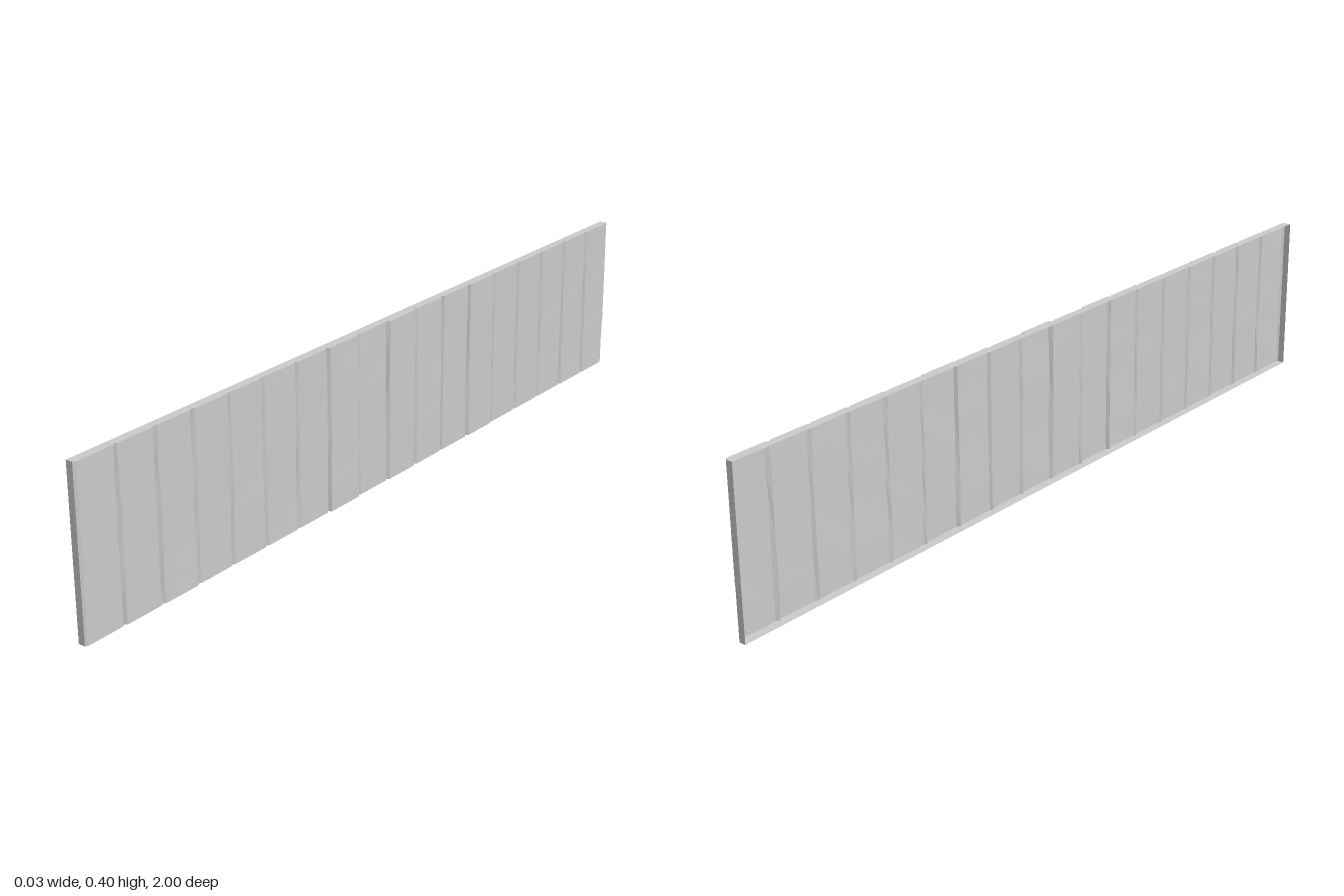
import * as THREE from 'three';

const BOARDS = 18, ROWS = 6, HEIGHT = 0.4, BACK = -0.013, GROOVE = 0.004;
const PITCH = 2 / BOARDS;

// Seeded random numbers for the hand-cut look
function seeded(seed) {
  return () => {
    seed = (seed * 16807) % 2147483647;
    return seed / 2147483647;
  };
}

// Faceted sheet over a grid of points; u runs right and v up as seen from outside
function sheet(name, nu, nv, point, material) {
  const pos = [];
  for (let i = 0; i < nu; i++) {
    for (let j = 0; j < nv; j++) {
      const a = point(i, j), b = point(i + 1, j), c = point(i + 1, j + 1), d = point(i, j + 1);
      pos.push(...a, ...b, ...c, ...a, ...c, ...d);
    }
  }
  const geometry = new THREE.BufferGeometry();
  geometry.setAttribute('position', new THREE.Float32BufferAttribute(pos, 3));
  geometry.computeVertexNormals();
  const mesh = new THREE.Mesh(geometry, material);
  mesh.name = name;
  return mesh;
}

export function createModel() {
  const group = new THREE.Group();
  group.name = 'plankWall';
  const material = new THREE.MeshStandardMaterial({
    color: 0xcccccc, flatShading: true, side: THREE.DoubleSide,
  });
  const rand = seeded(4711);

  // Columns of points: groove bottom, then the two face edges of each board
  const columns = [];
  const addColumn = (z, x, wobbleZ, wobbleX, tilt) => {
    const column = [];
    for (let j = 0; j <= ROWS; j++) {
      const t = j / ROWS;
      column.push([
        Math.min(0.013, x + tilt * (t - 0.5) + (rand() - 0.5) * wobbleX),
        HEIGHT * t,
        z + (rand() - 0.5) * wobbleZ,
      ]);
    }
    columns.push(column);
  };
  for (let b = 0; b < BOARDS; b++) {
    const z = 1 - b * PITCH;
    const face = 0.008 + rand() * 0.004;
    const tilt = (rand() - 0.5) * 0.003;
    addColumn(z, GROOVE, 0, 0, 0);
    addColumn(z - 0.006, face, 0.004, 0.0006, tilt);
    addColumn(z - PITCH + 0.006, face, 0.004, 0.0006, tilt);
  }
  addColumn(-1, GROOVE, 0, 0, 0);

  // Planked front of the wall
  const last = columns.length - 1;
  group.add(sheet('planks', last, ROWS, (i, j) => columns[i][j], material));

  // Thin rim around the open back
  const backOf = ([, y, z]) => [BACK, y, z];
  group.add(sheet('topRim', last, 1,
    (i, j) => (j ? backOf(columns[i][ROWS]) : columns[i][ROWS]), material));
  group.add(sheet('bottomRim', last, 1,
    (i, j) => (j ? columns[i][0] : backOf(columns[i][0])), material));
  group.add(sheet('frontEnd', 1, ROWS,
    (i, j) => (i ? columns[0][j] : backOf(columns[0][j])), material));
  group.add(sheet('backEnd', 1, ROWS,
    (i, j) => (i ? backOf(columns[last][j]) : columns[last][j]), material));
  return group;
}
